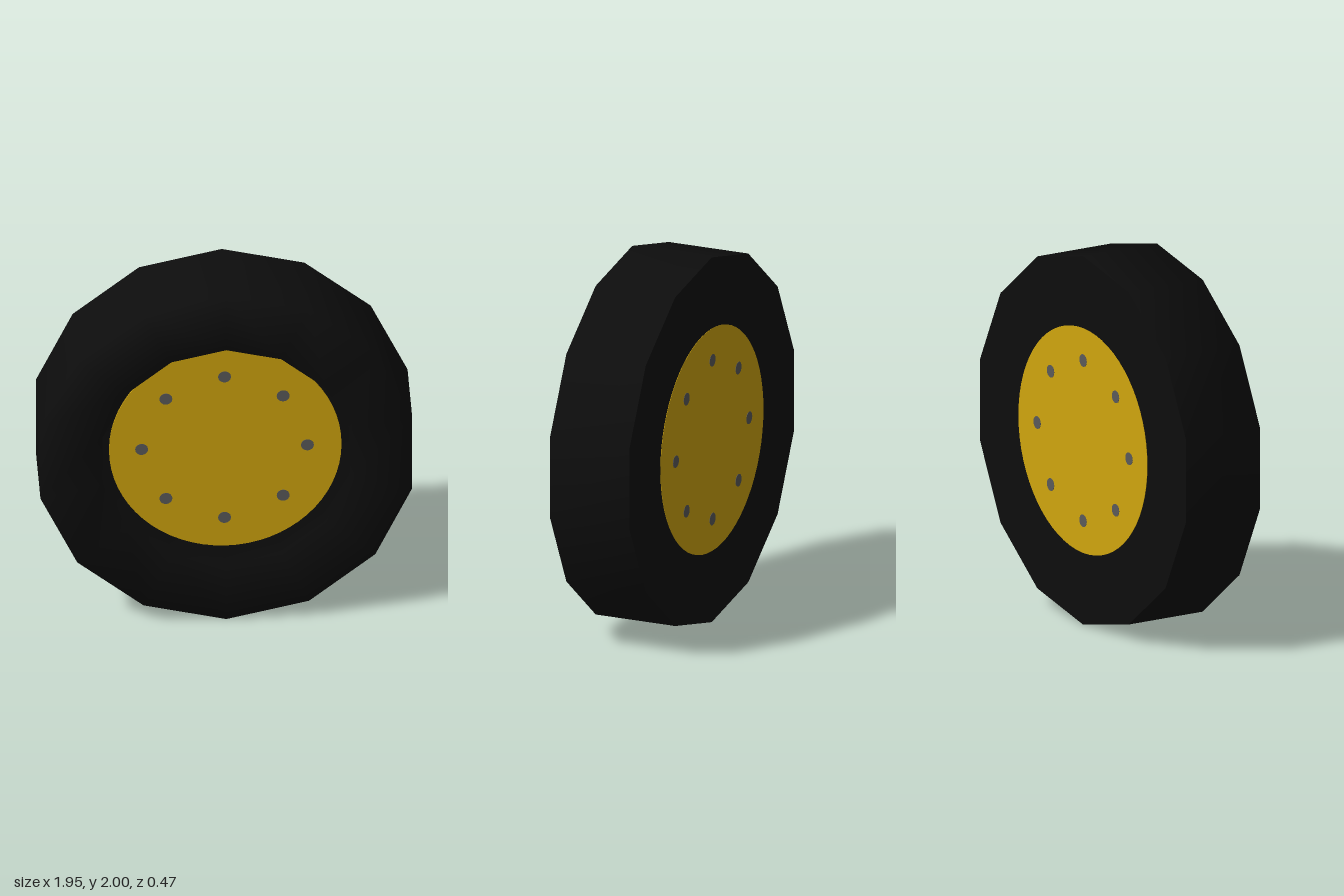
import * as THREE from 'three';

const material = (name, color) => {
  const m = new THREE.MeshStandardMaterial({ color });
  m.name = name;
  return m;
};

export function createModel() {
  const rubber = material('black rubber', 0x0d0d0d);
  const gold = material('gold rim', 0xd0a50e);
  const steel = material('grey steel', 0x5a5a5a);

  const SIDES = 14;
  const HALF = 0.232; // half the tyre width
  const FRONT = 0.128, BACK = -0.234; // faces of the rim disc

  const wheel = new THREE.Group();
  wheel.name = 'wheel';
  const add = (parent, name, geometry, mat) => {
    const mesh = new THREE.Mesh(geometry, mat);
    mesh.name = name;
    parent.add(mesh);
    return mesh;
  };

  // Tyre: coarse softened tread, front wall and front recess
  const profile = [[1, -HALF], [1, HALF], [0.665, HALF], [0.665, 0.12], [0, 0.12]];
  const tyre = new THREE.LatheGeometry(profile.map(([r, z]) => new THREE.Vector2(r, z)), SIDES);
  add(wheel, 'tyre', tyre.rotateX(Math.PI / 2), rubber);

  // Flat back wall of the tyre
  const wall = new THREE.CircleGeometry(1, SIDES, Math.PI / 2).rotateY(Math.PI);
  add(wheel, 'tyreBackWall', wall, rubber).position.z = -HALF;

  // Rim disc, recessed at the front and flush at the back
  const rim = new THREE.CylinderGeometry(0.61, 0.61, FRONT - BACK, 64).rotateX(Math.PI / 2);
  add(wheel, 'rimDisc', rim, gold).position.z = (FRONT + BACK) / 2;

  // Ring of eight bolts showing on both faces
  const bolts = new THREE.Group();
  bolts.name = 'bolts';
  const boltGeometry = new THREE.CylinderGeometry(0.034, 0.034, FRONT - BACK + 0.004, 16).rotateX(Math.PI / 2);
  for (let i = 0; i < 8; i++) {
    const a = (i * Math.PI) / 4;
    const bolt = add(bolts, 'bolt', boltGeometry, steel);
    bolt.position.set(0.435 * Math.cos(a) - 0.004, 0.435 * Math.sin(a), (FRONT + BACK) / 2);
  }
  wheel.add(bolts);

  wheel.position.y = 1;
  const model = new THREE.Group();
  model.add(wheel);
  return model;
}
